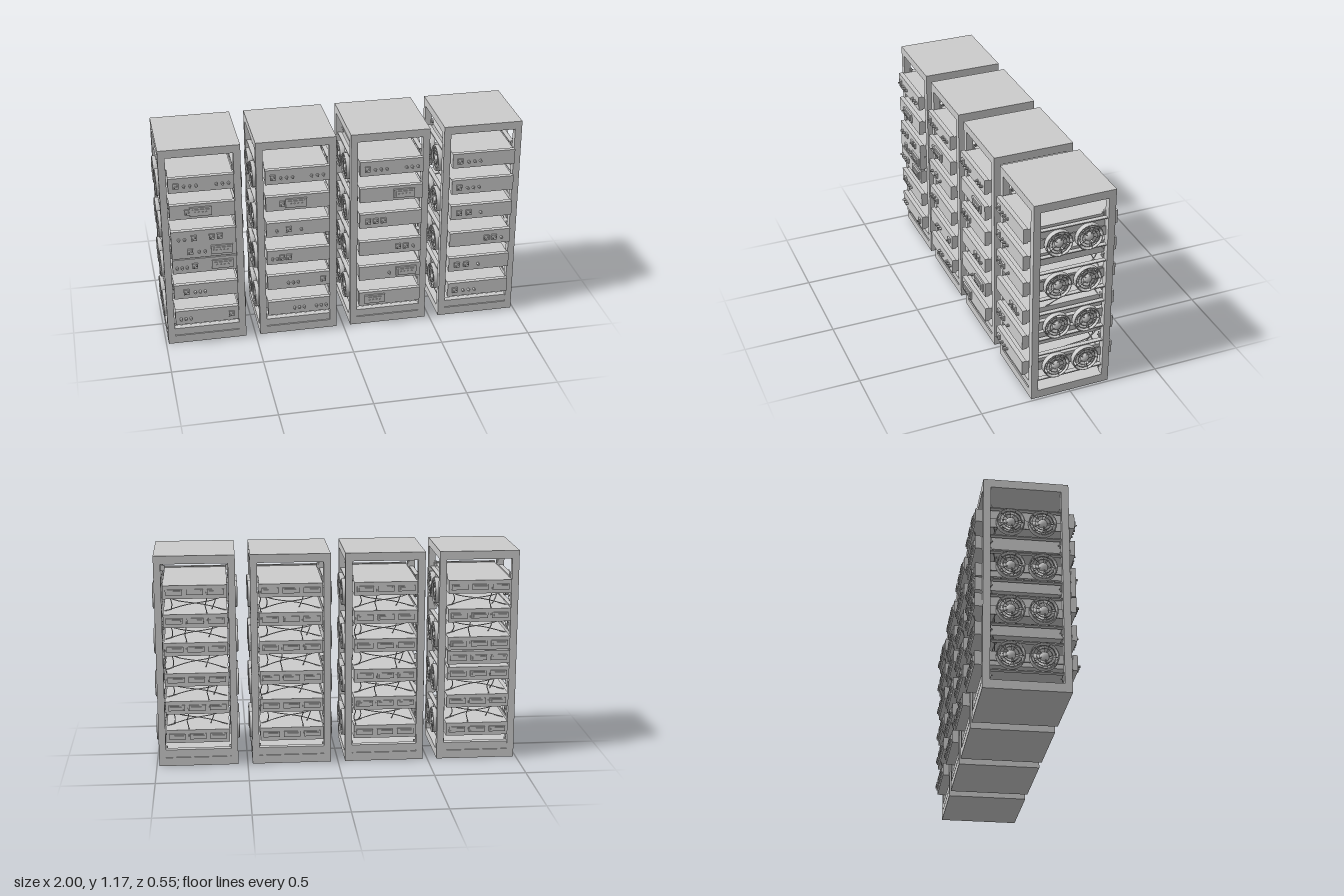
import * as THREE from 'three';

const grey = new THREE.MeshStandardMaterial({ color: 0xcccccc, flatShading: true });
const smooth = new THREE.MeshStandardMaterial({ color: 0xcccccc, side: THREE.DoubleSide });

function add(parent, name, geo, x = 0, y = 0, z = 0, mat = grey) {
  const m = new THREE.Mesh(geo, mat);
  m.name = name;
  m.position.set(x, y, z);
  parent.add(m);
  return m;
}
const box = (parent, name, w, h, d, x, y, z) => add(parent, name, new THREE.BoxGeometry(w, h, d), x, y, z);

const W = 0.434, H = 1.175, HW = W / 2, ZF = 0.217, ZB = -0.225, ZC = (ZF + ZB) / 2, D = ZF - ZB;
const POST = 0.038;

// Unit rows: centre heights
const ROWS = [0.985, 0.827, 0.67, 0.5, 0.343, 0.18];
const EXTRA_ROW = 0.59;

// Front controls per rack and row: k = knob, s = socket, p = switch panel, number = x offset in 1/1000
const CONTROLS = [
  ['s-134 k-91 k-59 k-27 k80 k112 k144', 'p-10 s-80', 'k-134 k-102 s-53 s43 s86', 'k-150 k-123 k-96 s-53 p96',
    's-107 k-59 k-32 k-5', 'k-144 k-118 k-91 s134', 's-75 k-27 k5 p96'],
  ['s-134 k-91 k-59 k-27 k75 k107 k139', 'p-10 s-86', 'k-118 s-53 k16', 'k-144 k-118 s-91 s-53',
    'k-59 k-32 k-5 s134', 'k-27 k0 k27 k96 k123 k150'],
  ['s-134 k-91 k-59 k-27 k80 k112 k144', 'p70', 's-128 s-86 s-43', 's43 s86 k128', 'k-5 p91', 'p-86'],
  ['s-134 k-86 k-53 k-21', 's-134 k-86 k-53 k-21', 's-128 s-75 k-5', 's37 s80 k123', 's-128 s-75 k-5',
    's-134 k-86 k-53 k-21'],
];

const knobGeo = new THREE.CylinderGeometry(0.006, 0.008, 0.018, 10).rotateX(Math.PI / 2);
const pinGeo = new THREE.CylinderGeometry(0.004, 0.004, 0.012, 8).rotateX(Math.PI / 2);

function makeControl(parent, code, y) {
  const x = Number(code.slice(1)) / 1000, z = 0.253;
  if (code[0] === 'k') add(parent, 'knob', knobGeo, x, y - 0.006, z + 0.008);
  if (code[0] === 's') {
    box(parent, 'socket', 0.03, 0.03, 0.012, x, y, z + 0.004);
    for (const sx of [-1, 1]) add(parent, 'socketPin', pinGeo, x + sx * 0.007, y + sx * 0.004, z + 0.012);
  }
  if (code[0] === 'p') {
    box(parent, 'switchPanel', 0.116, 0.05, 0.012, x, y, z + 0.004);
    box(parent, 'switchPanelFace', 0.092, 0.03, 0.006, x, y, z + 0.011);
    for (let i = 0; i < 4; i++) add(parent, 'panelSwitch', pinGeo, x - 0.03 + i * 0.02, y, z + 0.014);
  }
}

// One slide-in unit: body, front plate, controls and rear connectors
function makeUnit(y, controls) {
  const g = new THREE.Group();
  g.name = 'rackUnit';
  box(g, 'unitBody', 0.344, 0.073, 0.49, 0, y, -0.015);
  box(g, 'frontPlate', 0.348, 0.084, 0.025, 0, y, 0.2405);
  for (const code of controls.split(' ')) makeControl(g, code, y);
  for (const x of [-0.112, 0, 0.112]) {
    box(g, 'rearConnector', 0.09, 0.03, 0.01, x, y, -0.263);
    box(g, 'rearConnectorPlug', 0.07, 0.016, 0.008, x, y, -0.27);
  }
  return g;
}

// Fan facing +x: open housing ring, guard rings, spokes, blades and domed hub
const housingGeo = new THREE.LatheGeometry(
  [[0.066, -0.014], [0.073, -0.014], [0.073, 0.012], [0.07, 0.015], [0.066, 0.012], [0.066, -0.014]]
    .map(p => new THREE.Vector2(...p)), 28).rotateZ(-Math.PI / 2);
const guardGeo = r => new THREE.TorusGeometry(r, 0.0018, 5, 28).rotateY(Math.PI / 2);
const guards = [0.055, 0.04].map(guardGeo);
const bladeShape = new THREE.Shape();
bladeShape.moveTo(-0.009, 0.018);
bladeShape.quadraticCurveTo(-0.024, 0.035, -0.02, 0.056);
bladeShape.quadraticCurveTo(0, 0.066, 0.018, 0.056);
bladeShape.lineTo(0.009, 0.018);
const bladeGeo = new THREE.ExtrudeGeometry(bladeShape, { depth: 0.003, bevelEnabled: false, curveSegments: 5 })
  .rotateY(Math.PI / 2 + 0.45);
const spokeGeo = new THREE.BoxGeometry(0.003, 0.07, 0.003).translate(0, 0.035, 0);
const hubGeo = new THREE.SphereGeometry(0.025, 18, 12).scale(0.6, 1, 1);

function makeFan() {
  const g = new THREE.Group();
  g.name = 'fan';
  add(g, 'fanHousing', housingGeo, 0, 0, 0, smooth);
  for (const geo of guards) add(g, 'fanGuardRing', geo, 0.009, 0, 0, smooth);
  for (let i = 0; i < 5; i++) {
    const a = (i + 0.2) * Math.PI * 2 / 5;
    add(g, 'fanBlade', bladeGeo, -0.003, 0, 0).rotation.x = a;
    add(g, 'fanSpoke', spokeGeo, 0.009, 0, 0).rotation.x = a + 0.6;
  }
  add(g, 'fanHub', hubGeo, 0, 0, 0, smooth);
  return g;
}

// One side of cooling: four fan pairs on thin rails
function makeFanWall(side) {
  const g = new THREE.Group();
  g.name = side > 0 ? 'leftFanWall' : 'rightFanWall';
  for (const y of [0.933, 0.682, 0.436, 0.185]) {
    for (const z of [0.08, -0.085]) {
      const fan = makeFan();
      fan.position.set(side * (HW - 0.003), y, z);
      if (side < 0) fan.rotation.y = Math.PI;
      g.add(fan);
    }
    box(g, 'fanMountBar', 0.006, 0.05, D - 0.07, side * 0.19, y, ZC);
    for (const s of [-1, 1]) {
      box(g, 'fanRail', 0.025, 0.006, D - 0.07, side * 0.196, y + s * 0.079, ZC);
      for (const z of [0.177, -0.183]) {
        box(g, 'railBracket', 0.016, 0.03, 0.008, side * 0.178, y + s * 0.097, z);
        add(g, 'bracketBolt', pinGeo, side * 0.178, y + s * 0.1, z - Math.sign(z) * 0.006);
      }
    }
  }
  return g;
}

const cable = (parent, pts) => add(parent, 'cable',
  new THREE.TubeGeometry(new THREE.CatmullRomCurve3(pts.map(p => new THREE.Vector3(...p))), 16, 0.0028, 5), 0, 0, 0, smooth);

// Loose wiring in the gaps between units and behind them
function makeCables(seed) {
  const g = new THREE.Group();
  g.name = 'wiring';
  for (let i = 0; i < ROWS.length - 1; i++) {
    const a = ROWS[i] - 0.036, b = ROWS[i + 1] + 0.036, m = (a + b) / 2, h = a - b;
    for (const s of [-1, 1]) {
      cable(g, [[s * 0.165, a, -0.17], [s * 0.1, m + h * 0.12, -0.15], [-s * 0.05, m - h * 0.15, -0.16], [-s * 0.165, b, -0.17]]);
    }
    const x = -0.12 + ((i + seed) % 3) * 0.02;
    cable(g, [[x, a, -0.14], [x + 0.015, m, -0.16], [x + 0.03, b, -0.14]]);
    cable(g, [[0.14, a, -0.15], [0.125, m, -0.17], [0.13, b, -0.13]]);
    const rx = ((i + seed) % 3 - 1) * 0.112 + 0.05;
    cable(g, [[rx, ROWS[i], -0.262], [rx, a - 0.01, -0.25], [rx + 0.008, m, -0.24], [rx, b + 0.01, -0.245], [rx, ROWS[i + 1], -0.262]]);
  }
  // Long sloping runs inside the frame
  cable(g, [[0.176, 0.54, 0.13], [0.176, 0.58, 0.03], [0.176, 0.605, -0.12], [0.17, 0.64, -0.17]]);
  cable(g, [[0.176, 0.24, 0.11], [0.176, 0.26, 0], [0.176, 0.28, -0.13], [0.17, 0.32, -0.175]]);
  return g;
}

function makeFrame() {
  const g = new THREE.Group();
  g.name = 'cabinetFrame';
  box(g, 'roof', W, 0.045, D, 0, H - 0.0225, ZC);
  box(g, 'base', W, 0.047, D, 0, 0.0235, ZC);
  for (const x of [-1, 1]) for (const z of [ZF - POST / 2, ZB + POST / 2])
    box(g, 'cornerPost', POST, H - 0.09, POST, x * (HW - POST / 2), H / 2, z);
  // Kick plates, set above a narrow slot
  for (const z of [ZF - POST / 2, ZB + POST / 2]) {
    box(g, 'kickPlate', W - 2 * POST, 0.036, POST - 0.004, 0, 0.074, z);
    box(g, 'kickSlot', W - 2 * POST, 0.012, POST - 0.014, 0, 0.052, z);
  }
  return g;
}

export function createModel() {
  const model = new THREE.Group();
  model.name = 'cabinetRow';
  CONTROLS.forEach((controls, i) => {
    const rack = new THREE.Group();
    rack.name = 'cabinet' + (i + 1);
    rack.position.x = -0.7695 + i * 0.513;
    rack.add(makeFrame(), makeFanWall(1), makeFanWall(-1), makeCables(i));
    ROWS.forEach((y, r) => rack.add(makeUnit(y, controls[r])));
    if (controls[6]) rack.add(makeUnit(EXTRA_ROW, controls[6]));
    model.add(rack);
  });
  return model;
}
